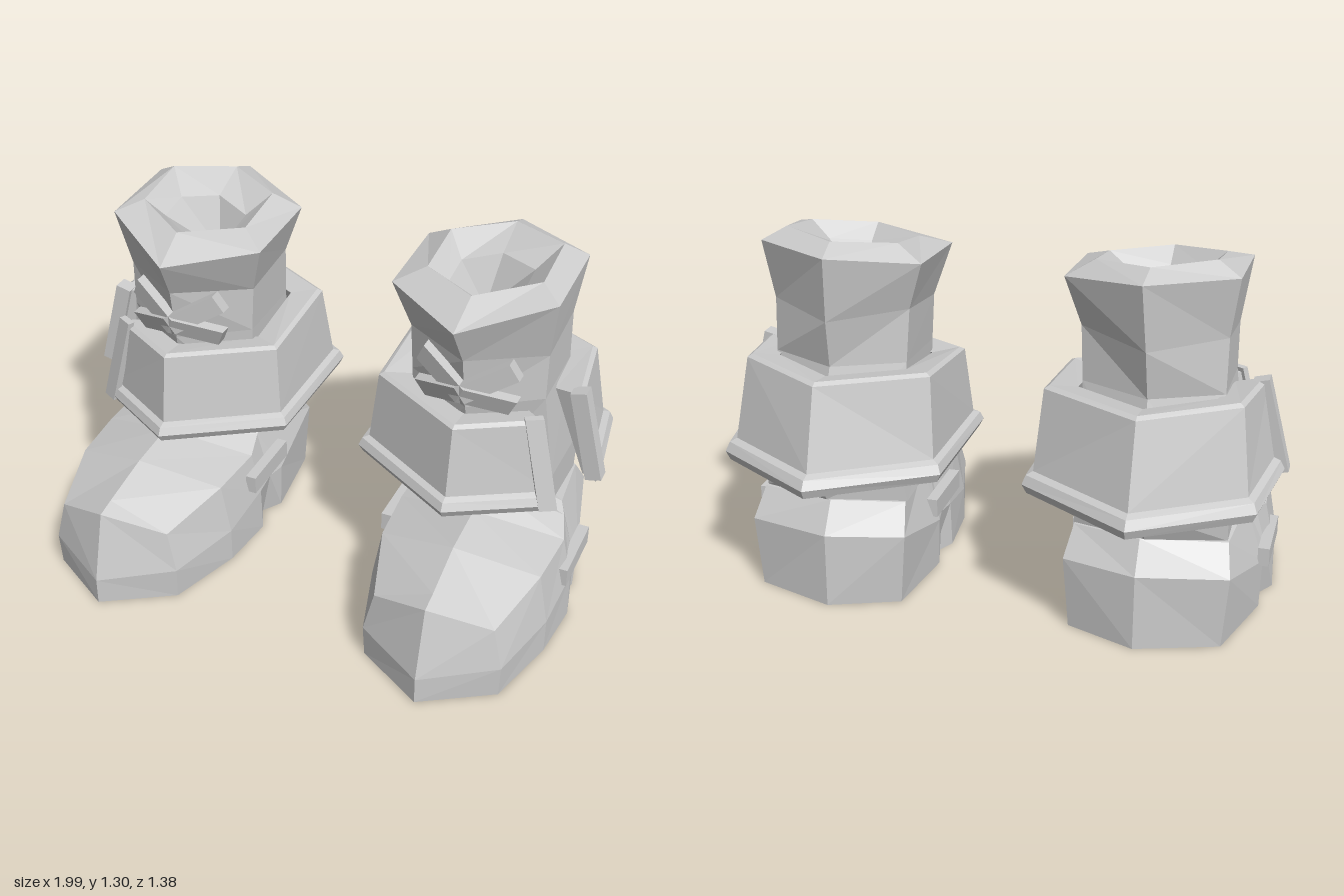
import * as THREE from 'three';

const material = new THREE.MeshStandardMaterial({ color: 0xcccccc, flatShading: true });

// Skins a list of equal-length cross-sections into a closed, outward-facing solid
function loft(name, rings, side) {
  const tris = [];
  const n = rings[0].length;
  const tri = (a, b, c) => tris.push([a, b, c].map(p => new THREE.Vector3(p[0] * side, p[1], p[2])));
  for (let i = 0; i < rings.length - 1; i++) {
    for (let j = 0; j < n; j++) {
      const k = (j + 1) % n, r = rings[i], q = rings[i + 1];
      tri(r[j], r[k], q[k]);
      tri(r[j], q[k], q[j]);
    }
  }
  const first = rings[0], last = rings[rings.length - 1];
  for (let j = 1; j < n - 1; j++) {
    tri(first[0], first[j + 1], first[j]);
    tri(last[0], last[j], last[j + 1]);
  }
  const solid = tris.filter(([a, b, c]) => new THREE.Triangle(a, b, c).getArea() > 1e-7);
  const volume = solid.reduce((v, [a, b, c]) => v + a.dot(b.clone().cross(c)), 0);
  const points = solid.flatMap(([a, b, c]) => (volume < 0 ? [a, c, b] : [a, b, c]));
  const geometry = new THREE.BufferGeometry().setFromPoints(points);
  geometry.computeVertexNormals();
  const mesh = new THREE.Mesh(geometry, material);
  mesh.name = name;
  return mesh;
}

// Rectangular bar along a path; w and t are half-width and half-thickness vectors
function bar(name, path, w, t, side) {
  const corners = [[1, 1], [1, -1], [-1, -1], [-1, 1]];
  const rings = path.map(p => corners.map(([a, b]) => p.map((v, i) => v + a * w[i] + b * t[i])));
  return loft(name, rings, side);
}

// Foot: sections from toe to heel
// [centre x, z bottom, half-width bottom, z mid, y mid, half-width mid,
//  z upper, y upper, half-width upper, z top, y top]
const footRows = [
  [0.615, 0.69, 0, 0.69, 0.1, 0, 0.62, 0.35, 0, 0.62, 0.35],
  [0.615, 0.54, 0.245, 0.545, 0.12, 0.25, 0.535, 0.27, 0.215, 0.55, 0.365],
  [0.61, 0.27, 0.325, 0.27, 0.13, 0.325, 0.27, 0.32, 0.29, 0.35, 0.41],
  [0.61, 0.05, 0.345, 0.05, 0.17, 0.34, 0.05, 0.325, 0.305, 0.15, 0.425],
  [0.605, -0.04, 0.295, -0.04, 0.18, 0.33, -0.04, 0.36, 0.28, 0.03, 0.47],
  [0.595, -0.11, 0.33, -0.11, 0.18, 0.335, -0.09, 0.38, 0.265, -0.1, 0.44],
  [0.57, -0.42, 0.265, -0.425, 0.26, 0.285, -0.35, 0.36, 0.265, -0.3, 0.4],
  [0.55, -0.515, 0, -0.51, 0.27, 0, -0.44, 0.38, 0, -0.4, 0.39],
];
function footRing([cx, zb, wb, zm, ym, wm, zu, yu, wu, zt, yt]) {
  return [
    [cx + wb, 0, zb], [cx + wm, ym, zm], [cx + wu, yu, zu], [cx, yt, zt],
    [cx - wu, yu, zu], [cx - wm, ym, zm], [cx - wb, 0, zb],
  ];
}

// Shaft: hexagonal rings from ankle, over the rim, into the funnel
// [left x, right x, then z and y for front, side-front, side-back, back, drop of the inner flank]
const shaftRows = [
  [0.3, 0.83, 0.15, 0.42, -0.08, 0.38, -0.34, 0.36, -0.44, 0.38, 0],
  [0.32, 0.83, 0.05, 0.49, -0.02, 0.52, -0.36, 0.5, -0.49, 0.5, 0],
  [0.31, 0.79, 0.13, 0.83, 0, 0.85, -0.28, 0.86, -0.39, 0.86, 0],
  [0.3, 0.79, 0.165, 1.03, 0, 1.02, -0.265, 1.05, -0.42, 1.03, 0],
  [0.245, 0.82, 0.24, 1.17, 0.05, 1.24, -0.29, 1.26, -0.45, 1.26, 0.04],
  [0.34, 0.74, 0.1, 1.24, -0.03, 1.27, -0.25, 1.305, -0.36, 1.295, 0.03],
  [0.41, 0.67, 0.03, 1.19, -0.05, 1.21, -0.17, 1.23, -0.22, 1.24, 0.02],
  [0.51, 0.51, -0.15, 1.06, -0.15, 1.06, -0.15, 1.06, -0.15, 1.06, 0],
];
function shaftRing([xl, xr, zf, yf, zsf, ysf, zsb, ysb, zb, yb, drop]) {
  const c = (xl + xr) / 2;
  return [
    [c, yf, zf], [xr, ysf, zsf], [xr, ysb, zsb],
    [c, yb, zb], [xl, ysb - drop, zsb], [xl, ysf - drop, zsf],
  ];
}

// Cuff: stations around the leg, each a bottom and a top corner; open on the outer side
const cuffStations = [
  [[0.89, 0.485, 0.105], [0.805, 0.81, 0.08]],
  [[0.545, 0.495, 0.315], [0.545, 0.81, 0.23]],
  [[0.14, 0.51, 0.08], [0.2, 0.82, 0.03]],
  [[0.14, 0.51, -0.445], [0.2, 0.86, -0.36]],
  [[0.545, 0.51, -0.7], [0.545, 0.86, -0.55]],
  [[0.935, 0.51, -0.46], [0.86, 0.87, -0.37]],
  [[0.995, 0.53, -0.06], [0.9, 0.85, -0.065]],
];
// [height fraction, distance from the leg axis]: inside, rim band, wall, top lip
const cuffProfile = [[0, 0.84], [-0.04, 0.95], [0.05, 1], [0.14, 0.985], [0.17, 0.935], [0.97, 1], [1, 0.96], [0.96, 0.7]];
function cuffRing([b, t]) {
  return cuffProfile.map(([f, k]) => {
    const p = b.map((v, i) => v + (t[i] - v) * f);
    return [0.545 + (p[0] - 0.545) * k, p[1], -0.17 + (p[2] + 0.17) * k];
  });
}

function boot(name, side) {
  const group = new THREE.Group();
  group.name = name;
  group.add(
    loft('foot', footRows.map(footRing), side),
    loft('shaft', shaftRows.map(shaftRing), side),
    loft('cuff', cuffStations.map(cuffRing), side),
    // Raised borders at the two ends of the cuff
    bar('cuffFrontBorder', [[0.86, 0.485, 0.112], [0.78, 0.825, 0.09]], [0.028, 0, -0.016], [0.006, 0, 0.011], side),
    bar('cuffBackBorder', [[0.968, 0.525, -0.085], [0.884, 0.855, -0.09]], [0, 0, 0.028], [0.028, 0.007, 0], side),
  );
  // Crossed bands bent around the front ridge
  for (const d of [-1, 1]) {
    const path = [[0.545 - d * 0.165, 1.0, 0.1], [0.545, 0.905, 0.162], [0.545 + d * 0.165, 0.855, 0.09]];
    group.add(bar('crossBand', path, [d * 0.016, 0.034, 0.01], [0, 0, 0.022], side));
  }
  // Small straps on both flanks of the foot
  for (const [x, y] of [[0.935, 0.215], [0.275, 0.245]]) {
    group.add(bar('footStrap', [[x, y, 0.12], [x, y, -0.15]], [0, 0.034, 0], [0.02, 0, 0], side));
  }
  return group;
}

export function createModel() {
  const model = new THREE.Group();
  model.name = 'boots';
  model.add(boot('leftBoot', 1), boot('rightBoot', -1));
  return model;
}
